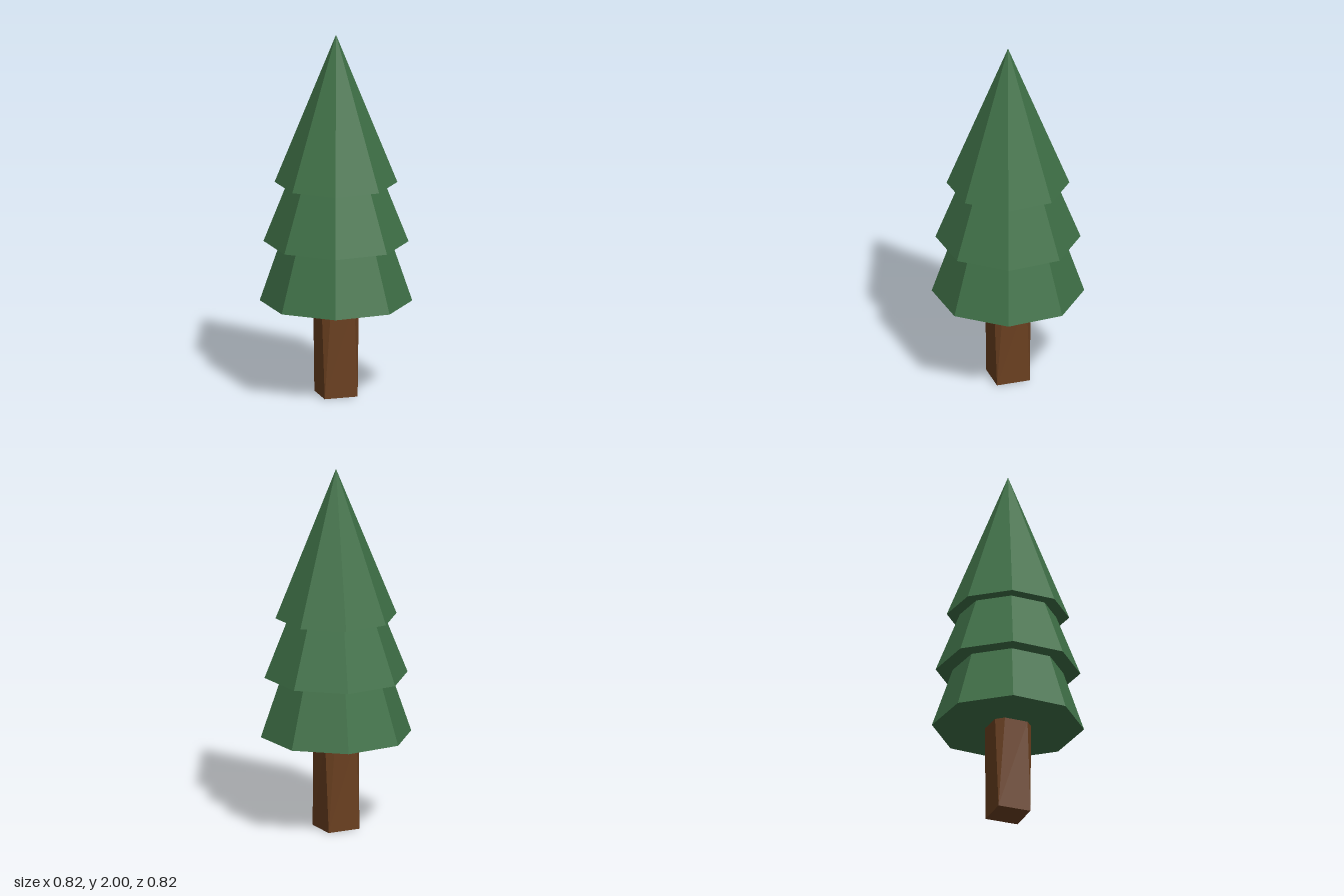
import * as THREE from 'three';

// Point on a ring around the y axis; angle in degrees from +z towards +x
function ringPoint(radius, degrees, y) {
  const a = THREE.MathUtils.degToRad(degrees);
  return new THREE.Vector3(radius * Math.sin(a), y, radius * Math.cos(a));
}

// Square at the ground; each corner widens upwards into a triangular chamfer
function trunkGeometry(height) {
  const corner = (k) => ringPoint(0.131, 18 + 90 * k, 0);
  const topA = (k) => ringPoint(0.126, 7.5 + 90 * k, height);
  const topB = (k) => ringPoint(0.125, 33.5 + 90 * k, height);
  const base = new THREE.Vector3(0, 0, 0);
  const points = [];
  for (let k = 0; k < 4; k++) {
    points.push(corner(k), topB(k), topA(k)); // chamfer
    points.push(corner(k), corner(k + 1), topA(k + 1)); // side
    points.push(corner(k), topA(k + 1), topB(k));
    points.push(base, corner(k + 1), corner(k)); // underside
  }
  const geometry = new THREE.BufferGeometry().setFromPoints(points);
  geometry.computeVertexNormals();
  return geometry;
}

export function createModel() {
  const tree = new THREE.Group();
  tree.name = 'pineTree';
  const bark = new THREE.MeshStandardMaterial({ color: 0x6b4020, flatShading: true });
  const foliage = new THREE.MeshStandardMaterial({ color: 0x3f7047, flatShading: true });

  const trunk = new THREE.Mesh(trunkGeometry(0.52), bark);
  trunk.name = 'trunk';
  tree.add(trunk);

  // Octagonal foliage, one stepped profile per tier with a flat underside
  const tiers = [
    { name: 'lowerFoliage', inner: 0, bottom: 0.41, top: 0.298, y0: 0.52, y1: 0.85 },
    { name: 'middleFoliage', inner: 0.298, bottom: 0.39, top: 0.26, y0: 0.85, y1: 1.18 },
    { name: 'topFoliage', inner: 0.26, bottom: 0.33, top: 0, y0: 1.18, y1: 2 },
  ];
  for (const t of tiers) {
    const profile = [
      new THREE.Vector2(t.inner, t.y0),
      new THREE.Vector2(t.bottom, t.y0),
      new THREE.Vector2(t.top, t.y1),
    ];
    const tier = new THREE.Mesh(new THREE.LatheGeometry(profile, 8), foliage);
    tier.name = t.name;
    tree.add(tier);
  }
  return tree;
}
